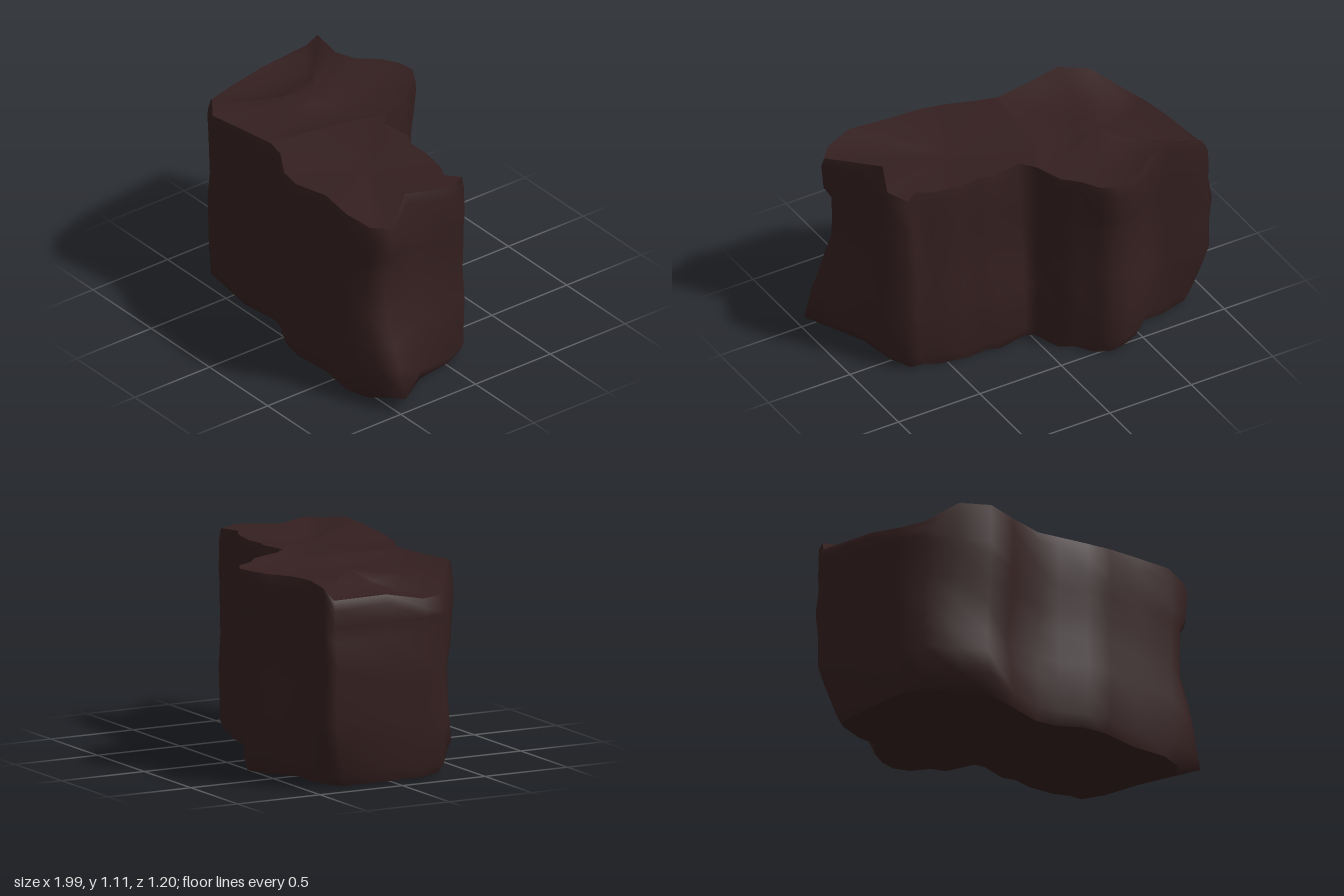
import * as THREE from 'three';

// plan outline as [x, z], running along the back, right side, front and left side
const OUTLINE = [
  [-1, -0.39], [-0.96, -0.435], [-0.72, -0.4], [-0.6, -0.44], [-0.5, -0.54], [-0.39, -0.595], [-0.3, -0.605],
  [-0.22, -0.56], [-0.16, -0.46], [-0.08, -0.39], [-0.02, -0.23], [0.05, -0.215], [0.23, -0.235], [0.3, -0.2],
  [0.42, -0.205], [0.58, -0.175], [0.66, -0.135], [0.74, -0.13], [0.8, 0], [0.83, 0.22], [1.01, 0.475], [0.91, 0.56],
  [0.67, 0.605], [0.45, 0.58], [0.22, 0.605], [0.08, 0.58], [-0.06, 0.5], [-0.18, 0.47], [-0.4, 0.5],
  [-0.6, 0.535], [-0.74, 0.43], [-0.89, 0.32], [-0.97, 0.18], [-0.97, -0.05],
];
const N = OUTLINE.length;
const RIDGE_BACK = 10, RIDGE_FRONT = 27; // outline points joined by the ridge across the top
// height, inset, offset of the right front corner, offset of the left side
const LEVELS = [
  [0.01, 0.04, -0.14, 0.03], [0.08, 0.01, 0, 0.04], [0.25, 0.005, -0.05, 0.03], [0.36, 0, -0.1, 0.025],
  [0.53, 0.015, -0.16, 0.01], [0.66, 0.01, -0.17, 0], [0.8, 0.008, -0.17, 0.025], [0.88, 0, -0.13, 0.03],
  [1.04, 0.005, -0.11, 0.03], [1.1, 0.02, -0.11, 0.04],
];
const TOP = LEVELS.length - 1;

const wobble = (i, j) => Math.sin(i * 12.99 + j * 4.7) * 0.6 + Math.sin(i * 5.3 - j * 2.1) * 0.4;
const bump = (x, y, w) => Math.exp(-(x * x + y * y) / (w * w));
const smooth = THREE.MathUtils.smoothstep;

function wallPoint(i, j) {
  let [x, z] = OUTLINE[i];
  let [y, inset, corner, left] = LEVELS[j];
  const x0 = x, z0 = z, len = Math.hypot(x, z), rough = wobble(i, j);
  x -= (x0 / len) * inset;
  z -= (z0 / len) * inset;
  if (z0 > 0.3) x += corner * smooth(x0, 0.7, 1);
  if (x0 < -0.9) x += left;
  x -= 0.13 * bump(x0 - 0.82, z0 - 0.2, 0.12) * y; // notch in the right side
  if (z0 > 0.3) z -= 0.05 * bump(x0 + 0.48, y - 0.4, 0.2); // dent in the front
  if (z0 < -0.42 && x0 > -0.65) z += 0.035 * (1 - smooth(y, 0.75, 1.08)); // overhang at the back
  if (z0 < -0.1 && x0 > 0.03 && x0 < 0.7) z += 0.06 * smooth(y, 0.1, 1.1); // shelf leans forward
  // worn lower corner at the back left
  const worn = bump(x0 + 0.98, z0 + 0.41, 0.12) * (1 - smooth(y, 0, 0.4));
  x += 0.05 * worn;
  z += 0.09 * worn;
  if (j < 2) {
    // chamfer under the front left corner
    const cut = bump(x0 + 0.67, z0 - 0.48, 0.16);
    y += (j ? 0.02 : 0.008) * rough + (j ? 0.06 : 0.03) * cut;
    if (j === 0) {
      x += 0.05 * cut;
      z -= 0.08 * cut;
    }
  } else if (j >= TOP - 1) {
    y += 0.01 * rough;
    if (x0 < -0.85 && z0 > -0.42) y -= 0.07 + 0.05 * smooth(z0, -0.1, 0.18); // sunken left rim
    y -= 0.04 * bump(x0 - 0.15, z0 - 0.59, 0.14) + 0.03 * bump(x0 - 0.95, z0 - 0.5, 0.14);
  }
  return [x, y, z];
}

function makeGeometry(points, index) {
  const g = new THREE.BufferGeometry();
  g.setAttribute('position', new THREE.Float32BufferAttribute(points.flat(), 3));
  g.setIndex(index);
  g.computeVertexNormals();
  return g;
}

// closed wall lofted through all levels
function wallGeometry() {
  const pts = [], idx = [];
  for (let j = 0; j <= TOP; j++) for (let i = 0; i < N; i++) pts.push(wallPoint(i, j));
  for (let j = 0; j < TOP; j++) {
    for (let i = 0; i < N; i++) {
      const a = j * N + i, b = j * N + (i + 1) % N;
      idx.push(a, a + N, b + N, a, b + N, b);
    }
  }
  return makeGeometry(pts, idx);
}

// cap from a rim to a centre point; sink(t) lowers it as t goes from rim (1) to centre (0)
function capGeometry(rim, cx, cz, level, sink, up) {
  const n = rim.length, steps = [1, 0.8, 0.55, 0.28], pts = [], idx = [];
  for (const t of steps) {
    for (const [x, y, z] of rim) {
      pts.push([cx + (x - cx) * t, level + (y - level) * t - sink(t), cz + (z - cz) * t]);
    }
  }
  pts.push([cx, level - sink(0), cz]);
  const tri = (a, b, c) => (up ? idx.push(a, c, b) : idx.push(a, b, c));
  for (let k = 0; k < steps.length; k++) {
    for (let i = 0; i < n; i++) {
      const a = k * n + i, b = k * n + (i + 1) % n;
      if (k === steps.length - 1) tri(steps.length * n, a, b);
      else {
        tri(a, b, b + n);
        tri(a, b + n, a + n);
      }
    }
  }
  return makeGeometry(pts, idx);
}

export function createModel() {
  const group = new THREE.Group();
  group.name = 'rockBlock';
  const stone = new THREE.MeshStandardMaterial({ color: 0x341f1f });
  stone.name = 'darkBrownStone';
  const add = (name, geometry) => {
    const mesh = new THREE.Mesh(geometry, stone);
    mesh.name = name;
    group.add(mesh);
  };

  const top = OUTLINE.map((_, i) => wallPoint(i, TOP));
  const bottom = OUTLINE.map((_, i) => wallPoint(i, 0));
  const ridge = [[-0.15, 1.09, 0.22], [-0.12, 1.08, -0.03]]; // front to back

  add('rockWall', wallGeometry());
  // gently domed top of the lump, with a shallow dip inside its rim
  const lump = [...top.slice(RIDGE_FRONT), ...top.slice(0, RIDGE_BACK + 1), ...[...ridge].reverse()];
  add('lumpTop', capGeometry(lump, -0.5, -0.05, 1.09, (t) => 0.04 * Math.sin(Math.PI * t), true));
  // nearly flat top of the right-hand shelf
  const shelf = [...top.slice(RIDGE_BACK, RIDGE_FRONT + 1), ...ridge];
  add('shelfTop', capGeometry(shelf, 0.3, 0.17, 1.07, (t) => 0.01 * (1 - t), true));
  add('rockBase', capGeometry(bottom, -0.08, 0.15, 0.01, () => 0, false));
  return group;
}
